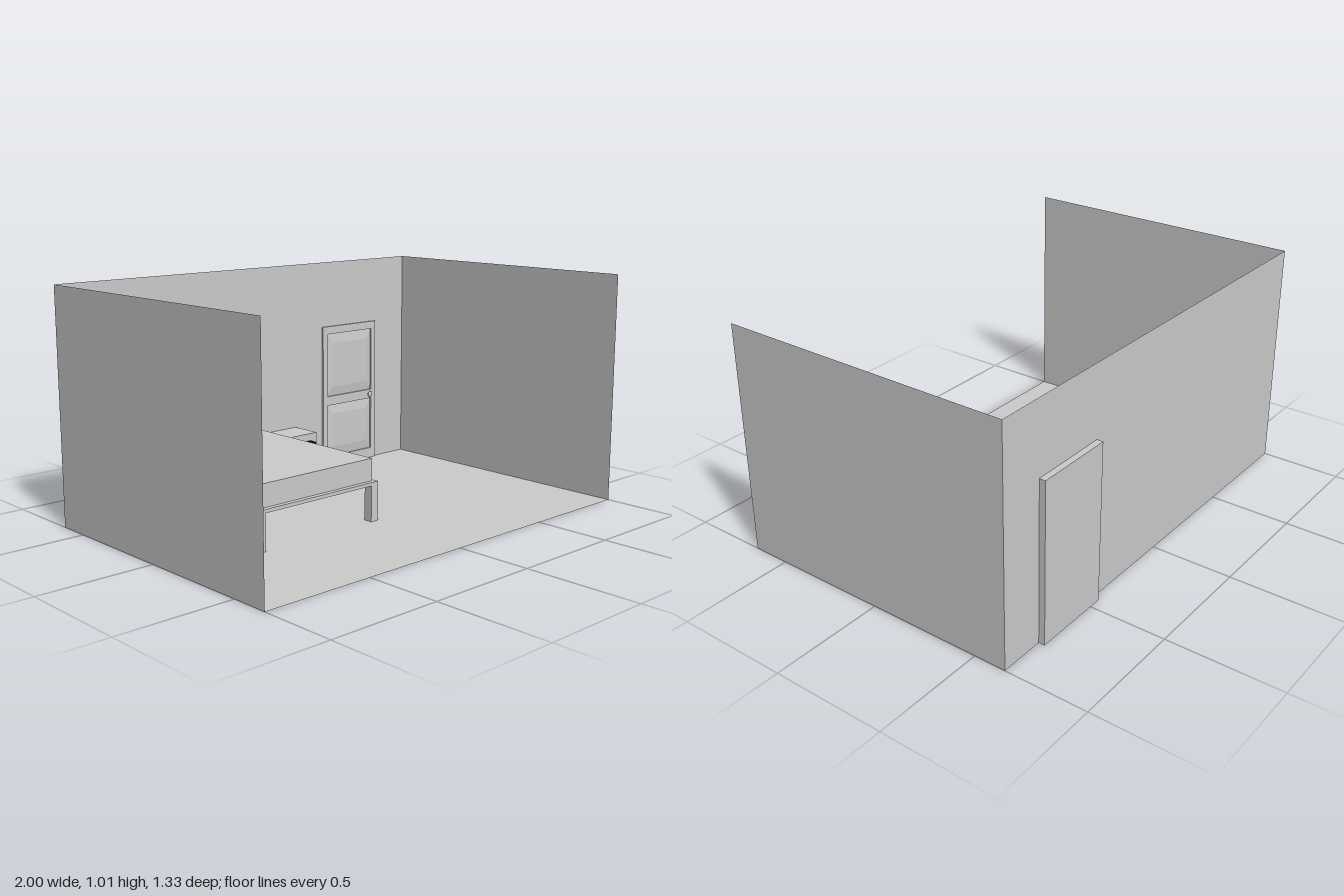
import * as THREE from 'three';

const grey = new THREE.MeshStandardMaterial({ color: 0xcccccc, flatShading: true });
const smooth = new THREE.MeshStandardMaterial({ color: 0xcccccc });
const sheet = new THREE.MeshStandardMaterial({ color: 0xcccccc, side: THREE.DoubleSide });
const black = new THREE.MeshStandardMaterial({ color: 0x0a0a0a });

const BACK = -0.64, FRONT = 0.667, HEIGHT = 1.015;

function add(parent, name, geometry, material = grey) {
  const mesh = new THREE.Mesh(geometry, material);
  mesh.name = name;
  parent.add(mesh);
  return mesh;
}

// Box given by its limits on each axis
function box(parent, name, [x0, x1], [y0, y1], [z0, z1], material = grey) {
  const mesh = add(parent, name, new THREE.BoxGeometry(x1 - x0, y1 - y0, z1 - z0), material);
  mesh.position.set((x0 + x1) / 2, (y0 + y1) / 2, (z0 + z1) / 2);
  return mesh;
}

// Knob turned around the z axis: thin stem with a rounded head
function knob(parent, name, r, length, x, y, z) {
  const profile = [[0.4, 0], [0.4, 0.5], [0.9, 0.6], [1, 0.75], [0.8, 0.93], [0, 1]]
    .map(([a, b]) => new THREE.Vector2(a * r, b * length));
  const geometry = new THREE.LatheGeometry(profile, 20).rotateX(Math.PI / 2);
  add(parent, name, geometry, smooth).position.set(x, y, z);
}

function group(parent, name) {
  const g = new THREE.Group();
  g.name = name;
  parent.add(g);
  return g;
}

function rectPath(path, x0, x1, y0, y1) {
  return path.moveTo(x0, y0).lineTo(x1, y0).lineTo(x1, y1).lineTo(x0, y1).closePath();
}

// Thin floor and three walls
function buildRoom(parent) {
  const room = group(parent, 'room');
  const depth = FRONT - BACK, midZ = (FRONT + BACK) / 2;
  add(room, 'floor', new THREE.PlaneGeometry(2, depth).rotateX(-Math.PI / 2), sheet).position.z = midZ;
  add(room, 'backWall', new THREE.PlaneGeometry(2, HEIGHT), sheet).position.set(0, HEIGHT / 2, BACK);
  for (const side of [-1, 1]) {
    const wall = add(room, side > 0 ? 'leftWall' : 'rightWall',
      new THREE.PlaneGeometry(depth, HEIGHT).rotateY(-side * Math.PI / 2), sheet);
    wall.position.set(side, HEIGHT / 2, midZ);
  }
}

function buildBed(parent) {
  const bed = group(parent, 'bed');
  const x0 = -0.63, x1 = 0.025, z0 = -0.638, z1 = 0.178, leg = 0.04;
  box(bed, 'bedFrame', [x0, x1], [0.157, 0.172], [z0, z1]);
  box(bed, 'mattress', [-0.612, 0.009], [0.172, 0.27], [-0.618, 0.156]);
  box(bed, 'headboard', [-0.625, 0.02], [0.172, 0.412], [z0, -0.618]);
  for (const x of [x0, x1 - leg])
    for (const z of [z0, z1 - leg])
      box(bed, 'bedLeg', [x, x + leg], [0, 0.157], [z, z + leg]);
}

function buildNightstand(parent, x) {
  const stand = group(parent, 'nightstand');
  stand.position.x = x;
  box(stand, 'cabinet', [-0.114, 0.114], [0, 0.232], [-0.638, -0.488]);
  for (const y of [0.043, 0.123]) {
    box(stand, 'drawer', [-0.076, 0.076], [y, y + 0.075], [-0.488, -0.445], black);
    knob(stand, 'drawerKnob', 0.006, 0.016, 0, y + 0.037, -0.445);
  }
}

function buildDoor(parent) {
  const door = group(parent, 'door');
  const x0 = 0.445, x1 = 0.798, top = 0.702, face = -0.63, recess = -0.638;
  box(door, 'doorSlab', [x0, x1], [0, top], [-0.667, recess]);

  // Stiles and rails around two openings
  const openings = [[0.05, 0.31], [0.355, 0.665]];
  const frame = rectPath(new THREE.Shape(), x0, x1, 0, top);
  for (const [a, b] of openings) frame.holes.push(rectPath(new THREE.Path(), 0.475, 0.77, a, b));
  const geometry = new THREE.ExtrudeGeometry(frame, { depth: face - recess, bevelEnabled: false });
  add(door, 'doorFrame', geometry).position.z = recess;

  // Raised panels with sloping edges
  for (const [a, b] of openings) {
    const w = 0.295, h = b - a;
    const panel = new THREE.BoxGeometry(w, h, 0.006);
    const p = panel.attributes.position;
    for (let i = 0; i < p.count; i++)
      if (p.getZ(i) > 0) p.setXY(i, p.getX(i) * (w - 0.066) / w, p.getY(i) * (h - 0.092) / h);
    panel.computeVertexNormals();
    add(door, 'doorPanel', panel).position.set(0.6225, (a + b) / 2, recess + 0.003);
  }
  knob(door, 'doorKnob', 0.015, 0.017, 0.752, 0.333, face);
}

// Slim cross hung above the bed
function buildWallCross(parent) {
  const cross = new THREE.Shape();
  const points = [[-0.009, 0], [0.009, 0], [0.009, 0.083], [0.037, 0.083], [0.037, 0.1], [0.009, 0.1],
    [0.009, 0.138], [-0.009, 0.138], [-0.009, 0.1], [-0.037, 0.1], [-0.037, 0.083], [-0.009, 0.083]];
  cross.setFromPoints(points.map(([x, y]) => new THREE.Vector2(x, y)));
  const geometry = new THREE.ExtrudeGeometry(cross, { depth: 0.01, bevelEnabled: false });
  add(parent, 'wallCross', geometry).position.set(-0.303, 0.56, BACK);
}

export function createModel() {
  const model = new THREE.Group();
  model.name = 'bedroom';
  buildRoom(model);
  buildBed(model);
  for (const x of [-0.763, 0.158]) buildNightstand(model, x);
  buildDoor(model);
  buildWallCross(model);
  return model;
}
